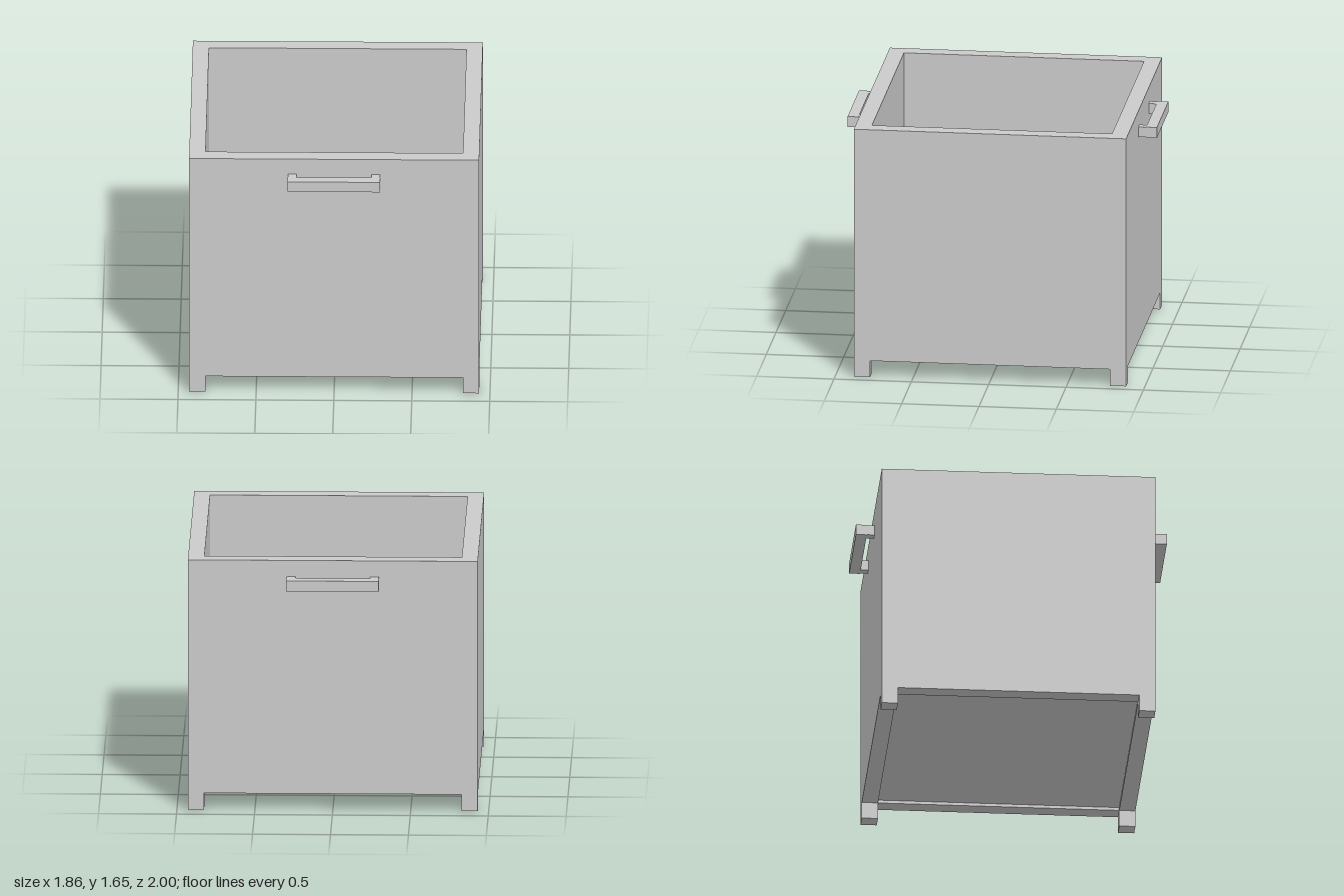
import * as THREE from 'three';

const material = new THREE.MeshStandardMaterial({ color: 0xcccccc });

const HALF_X = 0.93, HALF_Z = 0.88, WALL = 0.104;
const BASE = 0.11, TOP = 1.655;

// Box given by its minimum and maximum corners
function box(name, min, max) {
  const size = max.map((v, i) => v - min[i]);
  const mesh = new THREE.Mesh(new THREE.BoxGeometry(...size), material);
  mesh.position.set(...max.map((v, i) => (v + min[i]) / 2));
  mesh.name = name;
  return mesh;
}

function rectangle(path, hx, hy) {
  path.moveTo(-hx, -hy);
  path.lineTo(hx, -hy);
  path.lineTo(hx, hy);
  path.lineTo(-hx, hy);
  path.closePath();
  return path;
}

// U-shaped grip on the front wall
function createHandle(name) {
  const handle = new THREE.Group();
  handle.name = name;
  const low = 1.48, high = 1.55;
  handle.add(box('handleBar', [-0.297, low, 0.93], [0.297, high, 1]));
  for (const [side, x0, x1] of [['left', 0.24, 0.295], ['right', -0.295, -0.24]]) {
    handle.add(box(`${side}HandleMount`, [x0, low + 0.002, HALF_Z], [x1, high - 0.002, 0.93]));
  }
  return handle;
}

export function createModel() {
  const model = new THREE.Group();
  model.name = 'openBox';
  const innerX = HALF_X - WALL, innerZ = HALF_Z - WALL;

  // Four walls as one hollow frame
  const outline = rectangle(new THREE.Shape(), HALF_X, HALF_Z);
  outline.holes.push(rectangle(new THREE.Path(), innerX, innerZ));
  const wallGeometry = new THREE.ExtrudeGeometry(outline, { depth: TOP - BASE, bevelEnabled: false });
  wallGeometry.rotateX(-Math.PI / 2);
  const walls = new THREE.Mesh(wallGeometry, material);
  walls.name = 'walls';
  walls.position.y = BASE;
  model.add(walls);

  // Floor panel, slightly recessed from the lower rim
  model.add(box('floor', [-innerX, BASE + 0.02, -innerZ], [innerX, BASE + 0.1, innerZ]));

  // Square corner feet
  for (const sx of [-1, 1]) {
    for (const sz of [-1, 1]) {
      const foot = box('foot', [innerX, 0, innerZ], [HALF_X, BASE, HALF_Z]);
      foot.position.x *= sx;
      foot.position.z *= sz;
      model.add(foot);
    }
  }

  // Front and back handles
  const backHandle = createHandle('backHandle');
  backHandle.rotation.y = Math.PI;
  model.add(createHandle('frontHandle'), backHandle);

  return model;
}
